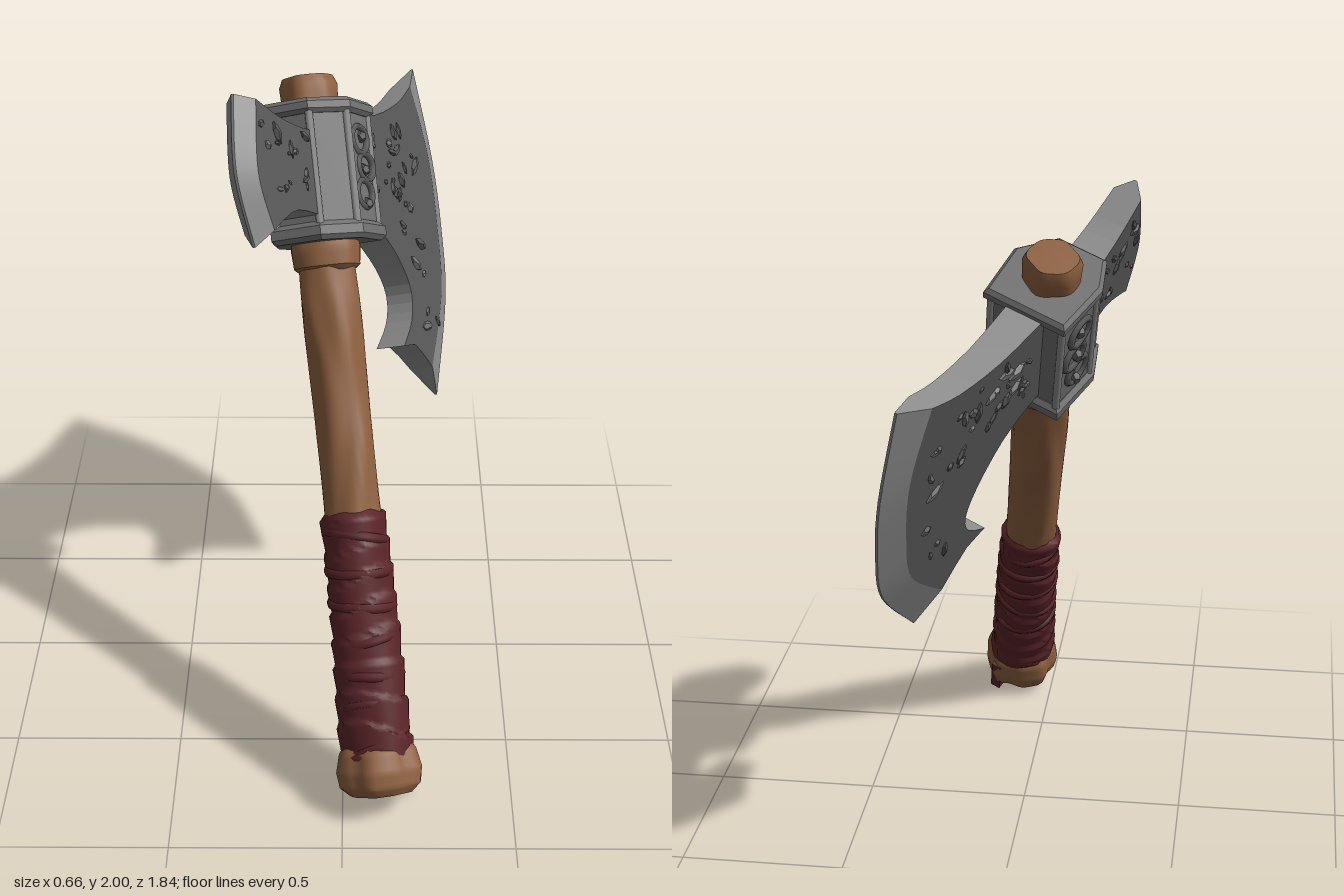
import * as THREE from 'three';
import { mergeVertices, toCreasedNormals } from 'three/addons/utils/BufferGeometryUtils.js';

const paint = (name, color, side = THREE.FrontSide) => {
  const m = new THREE.MeshStandardMaterial({ color, side });
  m.name = name;
  return m;
};

export function createModel() {
  const steel = paint('dark steel', 0x585858);
  const collarSteel = paint('collar steel', 0x717171);
  const edgeSteel = paint('bright edge steel', 0x8c8c8c, THREE.DoubleSide);
  const wood = paint('wood', 0x8d6040);
  const leather = paint('red leather', 0x5a2428);

  // Axe space: x toward the big blade, y up the handle, z across the blades
  const axe = new THREE.Group();
  axe.name = 'axe';
  const add = (name, geo, mat, parent = axe) => {
    const m = new THREE.Mesh(geo, mat);
    m.name = name;
    parent.add(m);
    return m;
  };
  let seed = 7;
  const rnd = () => (seed = (seed * 16807) % 2147483647) / 2147483647;
  const V2 = (p) => new THREE.Vector2(p[0], p[1]);
  const spline = (pts, n) => new THREE.SplineCurve(pts.map(V2)).getPoints(n);

  // Turned part whose radius is altered by a rule of angle and height
  const turned = (profile, rows, rule, crease = 0.7) => {
    const pts = [];
    for (let k = 0; k < profile.length - 1; k++) {
      const a = V2(profile[k]), b = V2(profile[k + 1]);
      const n = Math.max(1, Math.round(a.distanceTo(b) * rows));
      for (let i = 0; i < n; i++) pts.push(a.clone().lerp(b, i / n));
    }
    pts.push(V2(profile[profile.length - 1]));
    let g = new THREE.LatheGeometry(pts, 36);
    g.deleteAttribute('uv');
    g.deleteAttribute('normal');
    g = mergeVertices(g, 1e-4);
    const p = g.attributes.position;
    for (let i = 0; i < p.count; i++) {
      const x = p.getX(i), y = p.getY(i), z = p.getZ(i);
      const s = 1 + rule(Math.atan2(z, x), y);
      p.setXYZ(i, x * s, y, z * s);
    }
    return toCreasedNormals(g, crease);
  };

  // Wooden shaft, pommel and shoulder ring
  const carved = (a, y) => 0.05 * Math.sin(3 * a + 5 * y) * Math.sin(9 * y + a)
    + 0.03 * Math.sin(6 * a + 2 * Math.sin(7 * y)) + 0.025 * Math.sin(17 * y + 2 * a);
  add('shaft', turned([[0.09, 0.1], [0.082, 0.8], [0.082, 1.1], [0.09, 1.45], [0.086, 1.7],
    [0.082, 2.085], [0.07, 2.111], [0, 2.113]], 36, carved), wood);
  add('pommel', turned([[0, -0.012], [0.09, -0.006], [0.117, 0.02], [0.124, 0.065], [0.112, 0.12], [0.09, 0.15]], 80,
    (a, y) => 0.05 * Math.sin(5 * a + 6 * y) + 0.03 * Math.sin(9 * a)), wood);
  add('shoulderRing', turned([[0.08, 1.53], [0.1, 1.545], [0.106, 1.6], [0.1, 1.65], [0.08, 1.66]], 60,
    (a, y) => 0.03 * Math.sin(4 * a) + 0.02 * Math.sin(7 * a + 20 * y)), wood);

  // Leather wrap with overlapping turns
  const turns = (a, y) => {
    const f = y * 11 + 0.3 * Math.sin(a + 6 * y) + 0.12 * Math.sin(2 * a - 9 * y);
    return 0.1 * (f - Math.floor(f)) - 0.05 + 0.03 * Math.sin(3 * a + 8 * y);
  };
  add('gripWrap', turned([[0.085, 0.095], [0.108, 0.105], [0.103, 0.3], [0.098, 0.6],
    [0.095, 0.81], [0.08, 0.825]], 90, turns, 0.9), leather);
  for (let i = 0; i < 7; i++) {
    const g = new THREE.TorusGeometry(0.1 - i * 0.0012, 0.009, 6, 32).scale(1, 1, 1.7).rotateX(Math.PI / 2);
    const strap = add('wrapStrap', g, leather);
    strap.position.y = 0.15 + i * 0.1;
    strap.rotation.set((rnd() - 0.5) * 0.6, 0, (rnd() - 0.5) * 0.6);
  }
  const strip = add('pommelStrip', new THREE.BoxGeometry(0.03, 0.13, 0.035), leather);
  strip.position.set(0.108, 0.045, 0.03);

  // Blade: tapered plate plus a wedge ground to the cutting edge
  const halfThick = (x) => 0.064 - 0.032 * Math.abs(x) / 0.8;
  const blade = (name, upper, inner, edge, lower) => {
    const group = new THREE.Group();
    group.name = name;
    axe.add(group);
    const inn = spline(inner, 20), out = spline(edge, 20);
    const shape = new THREE.Shape([...upper, ...inn.slice(0, -1), ...lower]);
    const body = new THREE.ExtrudeGeometry(shape, { depth: 2, bevelEnabled: false });
    const p = body.attributes.position;
    for (let i = 0; i < p.count; i++) p.setZ(i, (p.getZ(i) - 1) * halfThick(p.getX(i)));
    body.computeVertexNormals();
    add(name + 'Body', body, [steel, edgeSteel], group);
    const pos = [], idx = [];
    inn.forEach((a, i) => {
      const b = out[i], h = halfThick(a.x);
      pos.push(a.x, a.y, h, b.x, b.y, 0.004, b.x, b.y, -0.004, a.x, a.y, -h);
    });
    for (let i = 0; i < inn.length - 1; i++) {
      for (let k = 0; k < 3; k++) {
        const a = i * 4 + k;
        idx.push(a, a + 4, a + 1, a + 1, a + 4, a + 5);
      }
    }
    const e = (inn.length - 1) * 4;
    idx.push(0, 1, 2, 0, 2, 3, e, e + 2, e + 1, e, e + 3, e + 2);
    const g = new THREE.BufferGeometry();
    g.setAttribute('position', new THREE.Float32BufferAttribute(pos, 3));
    g.setIndex(idx);
    add(name + 'CuttingEdge', toCreasedNormals(g, 0.4), edgeSteel, group);
    return group;
  };

  const big = blade('bigBlade',
    spline([[0.05, 2.0], [0.14, 2.005], [0.35, 2.024], [0.546, 2.081], [0.675, 2.15]], 12).slice(0, -1),
    [[0.675, 2.15], [0.772, 1.93], [0.79, 1.69], [0.762, 1.475], [0.61, 1.237]],
    [[0.79, 2.223], [0.872, 1.931], [0.889, 1.692], [0.862, 1.464], [0.706, 1.148]],
    [V2([0.61, 1.237]), V2([0.54, 1.28]), V2([0.482, 1.308]),
      ...spline([[0.39, 1.304], [0.475, 1.385], [0.496, 1.471], [0.442, 1.557], [0.32, 1.645], [0.19, 1.676], [0.05, 1.68]], 18)]);
  const small = blade('smallBlade',
    spline([[-0.05, 1.94], [-0.161, 1.935], [-0.3, 1.955], [-0.435, 1.998]], 8).slice(0, -1),
    [[-0.435, 1.998], [-0.462, 1.79], [-0.405, 1.632]],
    [[-0.482, 2.014], [-0.511, 1.79], [-0.447, 1.588]],
    [V2([-0.405, 1.632]), ...spline([[-0.385, 1.644], [-0.271, 1.694], [-0.15, 1.69], [-0.05, 1.68]], 8)]);

  // Raised scars and pits of slag on both faces of each blade
  const scar = (parent, x, y, side, size) => {
    const g = new THREE.DodecahedronGeometry(1, 0);
    const m = add('forgeScar', toCreasedNormals(g, 0.1), rnd() < 0.25 ? collarSteel : steel, parent);
    m.position.set(x, y, side * halfThick(x));
    m.scale.set(size * (0.7 + rnd() * 1.2), size * 0.6, size * (0.35 + rnd() * 0.35));
    m.rotation.z = rnd() * Math.PI;
  };
  for (const side of [-1, 1]) {
    for (let i = 0; i < 34; i++) {
      const x = 0.2 + rnd() * 0.5, low = x > 0.55 ? 1.36 : x > 0.48 ? 1.6 : 1.72;
      scar(big, x, low + rnd() * (2.0 - low), side, 0.012 + rnd() * 0.014);
    }
    for (let i = 0; i < 16; i++) scar(small, -0.17 - rnd() * 0.27, 1.73 + rnd() * 0.2, side, 0.01 + rnd() * 0.012);
  }

  // Collar block around the shaft, with bright rims
  const section = [[-0.14, 0.06], [-0.04, 0.14], [0.14, 0.125], [0.14, -0.125], [-0.04, -0.135], [-0.14, -0.09]];
  const slab = (scale, y0, y1, bevel) => {
    const shape = new THREE.Shape(section.map(([x, z]) => new THREE.Vector2(x * scale, -z * scale)));
    const g = new THREE.ExtrudeGeometry(shape, {
      depth: y1 - y0 - 2 * bevel, bevelThickness: bevel, bevelSize: bevel, bevelOffset: -bevel, bevelSegments: 1,
    });
    return g.rotateX(-Math.PI / 2).translate(0, y0 + bevel, 0);
  };
  add('collar', slab(0.96, 1.63, 2.02, 0.01), collarSteel);
  add('collarTopRim', slab(1.07, 1.985, 2.03, 0.012), collarSteel);
  add('collarBottomRim', slab(1.08, 1.615, 1.67, 0.014), collarSteel);
  for (const [x, z] of section) {
    const post = add('collarEdge', new THREE.CylinderGeometry(0.013, 0.013, 0.34, 6), edgeSteel);
    post.position.set(x * 0.94, 1.83, z * 0.94);
  }

  // Knotwork relief on the two collar cheeks
  for (const side of [-1, 1]) {
    for (let i = 0; i < 3; i++) {
      const ring = add('collarKnot', new THREE.TorusGeometry(0.042, 0.011, 6, 18), steel);
      ring.position.set(0.05 + (i % 2 ? 0.015 : -0.01), 1.75 + i * 0.08, side * 0.127);
      ring.scale.set(1.2, 0.95, 1);
      const stud = add('collarStud', toCreasedNormals(new THREE.DodecahedronGeometry(0.02, 0), 0.1), steel);
      stud.position.set(0.05, 1.72 + i * 0.1, side * 0.128);
    }
  }

  // Lean the whole axe into its resting pose
  const up = new THREE.Vector3(-0.1066, 0.8597, -0.4997).normalize();
  const across = new THREE.Vector3(0.43, -0.413, -0.802).cross(up).normalize();
  const forward = new THREE.Vector3().crossVectors(up, across);
  axe.quaternion.setFromRotationMatrix(new THREE.Matrix4().makeBasis(forward, up, across));
  axe.position.set(0.115, 0.07, 0.82);

  const model = new THREE.Group();
  model.name = 'battleAxe';
  model.add(axe);
  return model;
}
